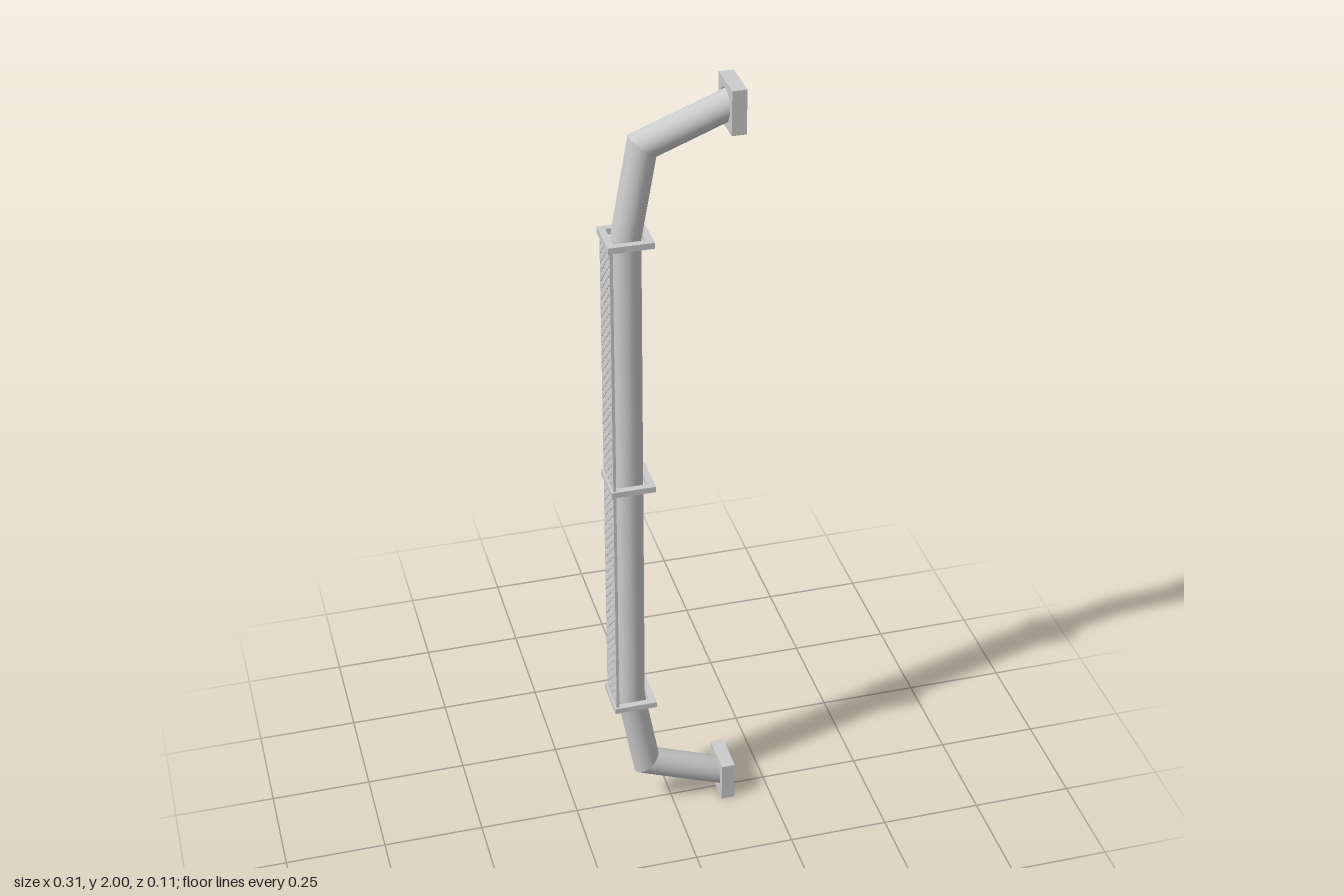
import * as THREE from 'three';

const material = new THREE.MeshStandardMaterial({ color: 0xcccccc });
const TUBE_X = -0.104;
const R = 0.035;

function add(parent, name, geometry) {
  const mesh = new THREE.Mesh(geometry, material);
  mesh.name = name;
  parent.add(mesh);
  return mesh;
}

// Rectangle centred on the origin, extruded through its middle
function rectShape(w, h) {
  return new THREE.Shape([
    new THREE.Vector2(-w / 2, -h / 2), new THREE.Vector2(w / 2, -h / 2),
    new THREE.Vector2(w / 2, h / 2), new THREE.Vector2(-w / 2, h / 2),
  ]);
}

function slab(shape, depth) {
  const geometry = new THREE.ExtrudeGeometry(shape, { depth, bevelEnabled: false, curveSegments: 16 });
  return geometry.translate(0, 0, -depth / 2);
}

// Straight length of pipe whose two ends are sheared to the given mitre directions
function pipeSegment(a, b, n, mitreA, mitreB) {
  const geometry = new THREE.CylinderGeometry(1, 1, 1, 32, 1, true);
  const pos = geometry.attributes.position;
  const normal = geometry.attributes.normal;
  for (let i = 0; i < pos.count; i++) {
    const top = pos.getY(i) > 0;
    const end = top ? b : a;
    const m = top ? mitreB : mitreA;
    const u = pos.getX(i);
    const v = pos.getZ(i);
    pos.setXYZ(i, end.x + m.x * u * R, end.y + m.y * u * R, v * R);
    normal.setXYZ(i, n.x * u, n.y * u, v);
  }
  return geometry;
}

export function createModel() {
  const model = new THREE.Group();
  model.name = 'pullHandle';

  // Bent pipe with mitred corners
  const path = [
    [0.14, 0.05], [-0.065, 0.13], [TUBE_X, 0.35],
    [TUBE_X, 1.65], [-0.065, 1.87], [0.14, 1.95],
  ].map(([x, y]) => new THREE.Vector2(x, y));
  const normals = path.slice(1).map((p, i) => {
    const d = p.clone().sub(path[i]).normalize();
    return new THREE.Vector2(d.y, -d.x);
  });
  const mitres = path.map((p, i) => {
    const n1 = normals[Math.max(i - 1, 0)];
    const n2 = normals[Math.min(i, normals.length - 1)];
    return n1.clone().add(n2).divideScalar(1 + n1.dot(n2));
  });
  const pipe = new THREE.Group();
  pipe.name = 'bentPipe';
  model.add(pipe);
  normals.forEach((n, i) => {
    add(pipe, 'pipeSegment', pipeSegment(path[i], path[i + 1], n, mitres[i], mitres[i + 1]));
  });

  // Pipe ends and drilled mounting blocks, bottom and top
  for (const top of [false, true]) {
    const end = top ? path[5] : path[0];
    const inner = top ? path[4] : path[1];
    const cap = add(pipe, 'pipeEnd', new THREE.CircleGeometry(R, 32));
    cap.position.set(end.x, end.y, 0);
    cap.lookAt(2 * end.x - inner.x, 2 * end.y - inner.y, 0);

    const face = rectShape(0.106, 0.106);
    face.holes.push(new THREE.Path().absarc(0, 0, 0.037, 0, Math.PI * 2, true));
    const block = add(model, 'mountingBlock', slab(face, 0.034));
    block.rotation.y = Math.PI / 2;
    block.position.set(0.139, top ? 1.947 : 0.053, 0);
  }

  // Square collars around the pipe
  for (const y of [0.35, 1, 1.65]) {
    const frame = rectShape(0.107, 0.107);
    frame.holes.push(new THREE.Path(rectShape(0.074, 0.074).getPoints().reverse()));
    const collar = add(model, 'collar', slab(frame, 0.015));
    collar.rotation.x = Math.PI / 2;
    collar.position.set(TUBE_X, y, 0);
  }

  // Perforated guard plate with staggered diamond holes
  const plate = rectShape(0.096, 1.3);
  const pitch = 0.024;
  const half = 0.0095;
  for (let row = 0; row < 106; row++) {
    const y = (row - 52.5) * pitch / 2;
    const columns = row % 2 ? 3 : 4;
    for (let c = 0; c < columns; c++) {
      const x = (c - (columns - 1) / 2) * pitch;
      plate.holes.push(new THREE.Path([
        new THREE.Vector2(x, y - half), new THREE.Vector2(x - half, y),
        new THREE.Vector2(x, y + half), new THREE.Vector2(x + half, y),
      ]));
    }
  }
  const guard = add(model, 'guardPlate', slab(plate, 0.007));
  guard.rotation.y = Math.PI / 2;
  guard.position.set(-0.149, 1, 0);

  return model;
}
